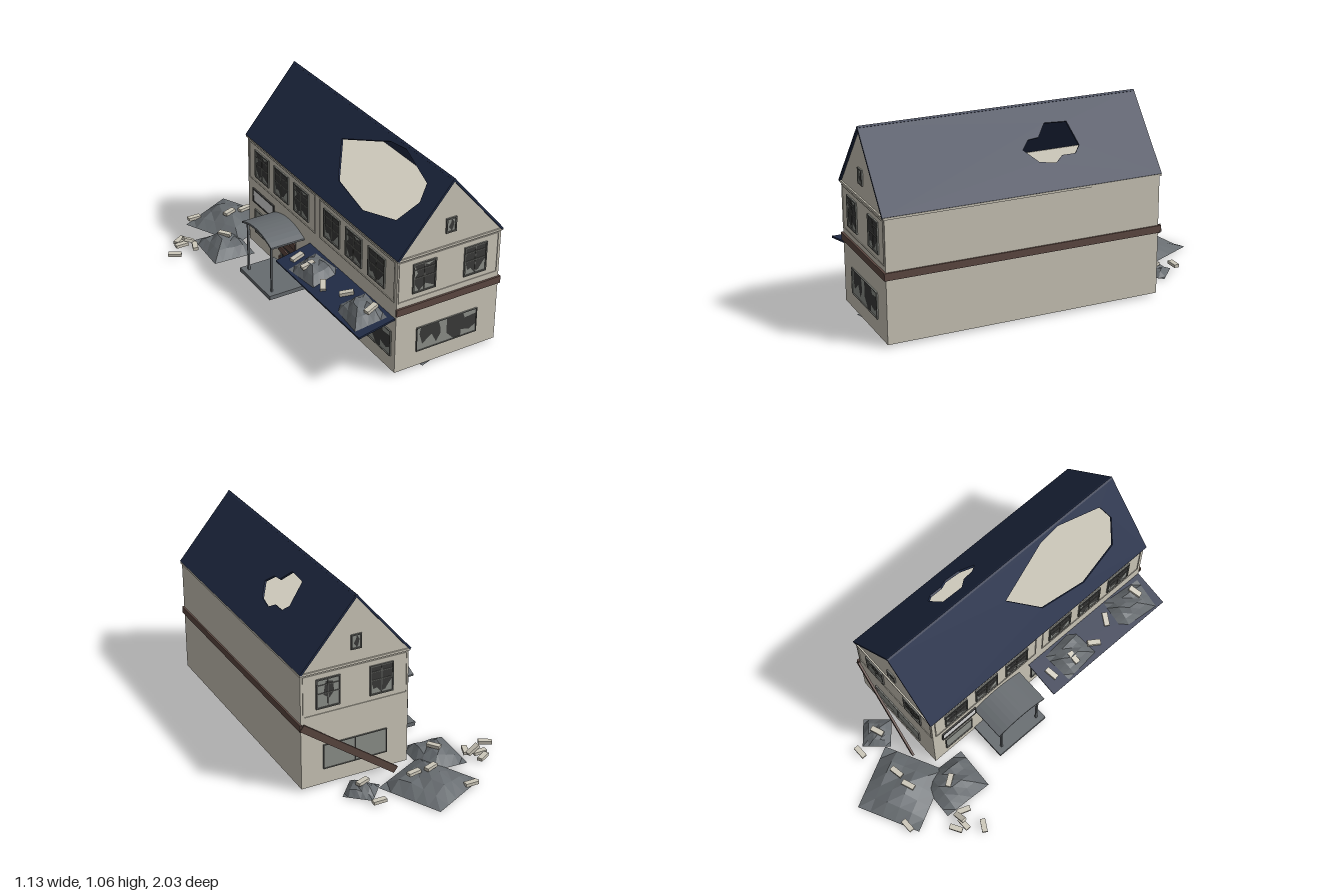
import * as THREE from 'three';

const mat = (name, color) => Object.assign(new THREE.MeshStandardMaterial({ color }), { name });

export function createModel() {
  const model = new THREE.Group();
  model.name = 'ruinedTownhouse';
  const cream = mat('creamPlaster', 0xcdc8ba), blue = mat('blueRoof', 0x222d48);
  const brown = mat('brownTimber', 0x5f4a43), grey = mat('greyRubble', 0x676c70);
  const frameMat = mat('greyFrame', 0x62635f), glassMat = mat('dustyGlass', 0x8f928c);
  const dark = mat('darkInterior', 0x3b3b3a), white = mat('signWhite', 0xdedede);
  grey.side = THREE.DoubleSide;

  const add = (parent, name, geo, m, x = 0, y = 0, z = 0) => {
    const mesh = new THREE.Mesh(geo, m);
    mesh.name = name;
    mesh.position.set(x, y, z);
    parent.add(mesh);
    return mesh;
  };
  const box = (parent, name, m, w, h, d, x, y, z) => add(parent, name, new THREE.BoxGeometry(w, h, d), m, x, y, z);
  const poly = pts => new THREE.Shape(pts.map(p => new THREE.Vector2(p[0], p[1])));

  // Main body, its top is the attic floor
  const X0 = -0.07, X1 = 0.55, Z0 = -0.54, Z1 = 0.985, EAVE = 0.685, RIDGE = 1.06, XM = 0.237;
  box(model, 'walls', cream, X1 - X0, EAVE - 0.015, Z1 - Z0, (X0 + X1) / 2, (EAVE + 0.015) / 2, (Z0 + Z1) / 2);
  const gable = new THREE.ExtrudeGeometry(poly([[X0, EAVE], [X1, EAVE], [XM, 1.045]]), { depth: 0.015, bevelEnabled: false });
  add(model, 'frontGable', gable, cream, 0, 0, Z1 - 0.015);
  add(model, 'backGable', gable, cream, 0, 0, Z0);
  for (const z of [Z0, Z1]) box(model, 'cornice', cream, 0.632, 0.012, 0.016, (X0 + X1) / 2, 0.68, z);
  for (const x of [X0, X1]) box(model, 'eavesCornice', cream, 0.012, 0.012, 1.53, x, 0.68, 0.222);

  // Roof slopes with torn holes, hole corners given in plan as [x, z]
  const slope = (name, xe, outward, plan) => {
    const run = Math.abs(XM - xe), rise = RIDGE - EAVE, len = Math.hypot(run, rise);
    const dir = Math.sign(XM - xe);
    const s = poly([[-0.55, 0], [0.997, 0], [0.997, len], [-0.55, len]]);
    s.holes.push(new THREE.Path(plan.map(([x, z]) => new THREE.Vector2(z, Math.abs(x - xe) / run * len))));
    const geo = new THREE.ExtrudeGeometry(s, { depth: 0.012, bevelEnabled: false });
    if (outward) geo.translate(0, 0, -0.012);
    const up = new THREE.Vector3(dir * run / len, rise / len, 0), along = new THREE.Vector3(0, 0, 1);
    geo.applyMatrix4(new THREE.Matrix4().makeBasis(along, up, along.clone().cross(up)));
    add(model, name, geo, blue, xe, EAVE + 0.002, 0);
  };
  slope('roofRightSlope', -0.08, true, [[.12, .148], [.21, .47], [.22, .6], [.172, .857], [.11, .89], [.02, .825], [-.024, .58], [.003, .307]]);
  slope('roofLeftSlope', 0.556, false, [[.32, -.11], [.41, -.14], [.437, -.105], [.437, -.03], [.46, .015], [.45, .105], [.40, .175], [.367, .13], [.363, .07], [.315, .015]]);

  // Timber band on two sides and the fallen length at the back
  box(model, 'frontBand', brown, 0.632, 0.04, 0.012, 0.242, 0.38, Z1 + 0.005);
  box(model, 'sideBand', brown, 0.012, 0.04, 1.545, X1 + 0.003, 0.38, 0.2205);
  const a = new THREE.Vector3(0.55, 0.385, -0.552), b = new THREE.Vector3(0.04, 0.03, -0.615);
  const beam = box(model, 'fallenBeam', brown, 0.012, 0.04, a.distanceTo(b), 0, 0, 0);
  beam.position.copy(a).lerp(b, 0.5);
  beam.lookAt(b);

  // Facades: local x runs along the wall, local z points outward
  const facade = (name, ry, x, z) => {
    const g = new THREE.Group();
    g.name = name;
    g.rotation.y = ry;
    g.position.set(x, 0, z);
    model.add(g);
    return g;
  };
  const rim = (g, name, m, u0, u1, v0, v1, t, d) => {
    for (const v of [v0 + t / 2, v1 - t / 2]) box(g, name, m, u1 - u0, t, d, (u0 + u1) / 2, v, d / 2);
    for (const u of [u0 + t / 2, u1 - t / 2]) box(g, name, m, t, v1 - v0 - 2 * t, d, u, (v0 + v1) / 2, d / 2);
  };
  // Window: glass plate, dark broken areas as fractions of the pane, frame and bars
  const windowAt = (g, u0, u1, v0, v1, breaks, bars = [[], []], t = 0.007) => {
    const w = u1 - u0, h = v1 - v0, um = (u0 + u1) / 2, vm = (v0 + v1) / 2;
    box(g, 'glass', glassMat, w, h, 0.003, um, vm, 0.0015);
    for (const br of breaks)
      add(g, 'brokenPane', new THREE.ShapeGeometry(poly(br.map(([x, y]) => [u0 + x * w, v0 + y * h]))), dark, 0, 0, 0.0045);
    rim(g, 'windowFrame', frameMat, u0, u1, v0, v1, t, 0.009);
    for (const f of bars[0]) box(g, 'windowBar', frameMat, 0.004, h, 0.006, u0 + f * w, vm, 0.004);
    for (const f of bars[1]) box(g, 'windowBar', frameMat, w, 0.005, 0.006, um, v0 + f * h, 0.004);
  };
  const breakA = [[.08, .3], [.27, .05], [.55, .25], [.95, .08], [.95, .95], [.68, .85], [.4, .97], [.08, .95], [.2, .65], [.05, .5]];
  const breakB = [[.08, .42], [.15, .2], [.3, .24], [.45, .08], [.65, .12], [.8, .3], [.95, .45], [.95, .95], [.05, .95]];
  const breakC = [[.3, .45], [.55, .3], [.75, .5], [.7, .85], [.4, .9]];
  const attic = [[.25, .4], [.55, .1], [.7, .3], [.8, .65], [.55, .9], [.45, .65]];
  const shopA = [[.05, .7], [.1, .25], [.25, .55], [.33, .15], [.4, .45], [.39, .75], [.36, .97], [.07, .97]];
  const shopB = [[.5, .97], [.5, .35], [.62, .03], [.74, .03], [.74, .3], [.88, .2], [.99, .35], [.99, .8], [.8, .75], [.77, .97]];
  const grid = [[0.5], [0.5, 0.78]];

  const front = facade('frontFacade', 0, 0, Z1), back = facade('backFacade', Math.PI, 0, Z0);
  const side = facade('streetFacade', -Math.PI / 2, X0, 0);
  windowAt(front, .02, .157, .465, .635, [breakA], grid);
  windowAt(front, .327, .464, .465, .635, [breakB], grid);
  windowAt(front, .055, .425, .105, .248, [shopA, shopB], undefined, 0.003);
  windowAt(front, .205, .266, .757, .84, [attic]);
  rim(front, 'wallPanel', cream, -.062, .537, .43, .665, .005, .004);
  windowAt(back, -.157, -.02, .465, .635, [breakB], grid);
  windowAt(back, -.464, -.327, .465, .635, [breakC], grid);
  windowAt(back, -.425, -.055, .105, .248, [], [[0.5], []], 0.003);
  windowAt(back, -.266, -.205, .757, .84, [attic]);
  rim(back, 'wallPanel', cream, -.537, .062, .43, .665, .005, .004);

  // Street side: two rows of three windows, sign, shop windows and boarded door
  [-.45, -.235, -.02, .295, .51, .725].forEach((u, i) =>
    windowAt(side, u, u + .155, .465, .635, [i % 2 ? breakB : breakA], grid));
  rim(side, 'wallPanel', cream, -.52, .2, .43, .665, .005, .004);
  rim(side, 'wallPanel', cream, .245, .965, .43, .665, .005, .004);
  windowAt(side, -.46, -.27, .1, .25, [], undefined, 0.004);
  windowAt(side, .17, .53, .1, .25, [shopA, shopB], undefined, 0.004);
  windowAt(side, .59, .95, .1, .25, [shopB], undefined, 0.004);
  box(side, 'signBoard', white, .235, .08, .006, -.36, .335, .003);
  rim(side, 'signFrame', dark, -.48, -.24, .292, .378, .008, .009);
  box(side, 'doorway', dark, .15, .23, .004, -.085, .155, .002);
  rim(side, 'doorFrame', frameMat, -.165, -.005, .03, .275, .008, .009);
  [.08, .14, .2, .25].forEach((v, i) => {
    box(side, 'doorBoard', brown, .19, .036, .008, -.085, v, .009 + 0.002 * i).rotation.z = [.08, -.1, .05, -.06][i];
  });

  // Entrance slab, posts and arched canopy
  box(model, 'entranceSlab', grey, .22, .024, .34, -.18, .027, -.08);
  for (const z of [-.21, .05]) box(model, 'canopyPost', grey, .011, .31, .011, -.255, .19, z);
  const arch = new THREE.Shape();
  arch.moveTo(-.165, .338);
  arch.quadraticCurveTo(0, .415, .165, .338);
  arch.lineTo(.165, .328);
  arch.quadraticCurveTo(0, .4, -.165, .328);
  const canopy = add(model, 'archedCanopy', new THREE.ExtrudeGeometry(arch, { depth: .205, bevelEnabled: false, curveSegments: 10 }), grey, -.07, 0, -.08);
  canopy.rotation.y = -Math.PI / 2;

  // Sloping awning over the shop windows
  const awning = box(model, 'awning', blue, .215, .01, .83, -.177, .318, .565);
  awning.rotation.z = .2;

  // Rubble sheets: a flat grid lifted to an uneven faceted heap
  const mound = (name, w, d, h, x, y, z, ry = 0, rz = 0) => {
    const grd = new THREE.PlaneGeometry(w, d, 5, 5).rotateX(-Math.PI / 2);
    const p = grd.attributes.position;
    for (let i = 0; i < p.count; i++) {
      const u = p.getX(i) / w * 2, v = p.getZ(i) / d * 2;
      const lift = Math.max(0, (1 - u * u) * (1 - v * v));
      p.setY(i, h * Math.pow(lift, .7) * (1 + .25 * Math.sin(i * 2.3)));
    }
    const geo = grd.toNonIndexed();
    geo.computeVertexNormals();
    const m = add(model, name, geo, grey, x, y, z);
    m.rotation.set(0, ry, rz);
  };
  mound('largeRubble', .37, .38, .065, -.065, .004, -.785, .46);
  mound('cornerRubble', .25, .29, .065, -.235, .002, -.545, -.05);
  mound('smallRubble', .16, .16, .045, .277, .006, -.68, .85);
  mound('awningRubble', .18, .22, .05, -.175, .325, .37, .1, .2);
  mound('awningRubble', .18, .24, .05, -.175, .325, .82, -.1, .2);
  mound('floorRubble', .3, .3, .008, .2, 0, .8, .3);

  // Scattered bricks: x, y, z, turn in degrees
  [[-.25, .02, -.9, 0], [-.53, .022, -.585, -30], [-.44, .022, -.71, 30], [-.45, .022, -.66, 0], [-.41, .045, -.655, 5],
    [-.39, .022, -.61, 70], [-.22, .075, -.565, -55], [-.09, .085, -.755, 20], [.01, .08, -.755, 10], [.25, .02, -.825, 0],
    [.27, .06, -.68, 20], [-.19, .33, .215, 10], [-.21, .365, .36, 0], [-.21, .325, .515, 60], [-.155, .34, .655, -30],
    [-.15, .375, .88, 15]].forEach(([x, y, z, deg], i) => {
    const brick = box(model, 'brick', cream, .075, .018, .03, x, y, z);
    brick.rotation.set(0, deg * Math.PI / 180, y > .3 ? .2 : i === 4 ? -.5 : 0);
  });
  return model;
}
